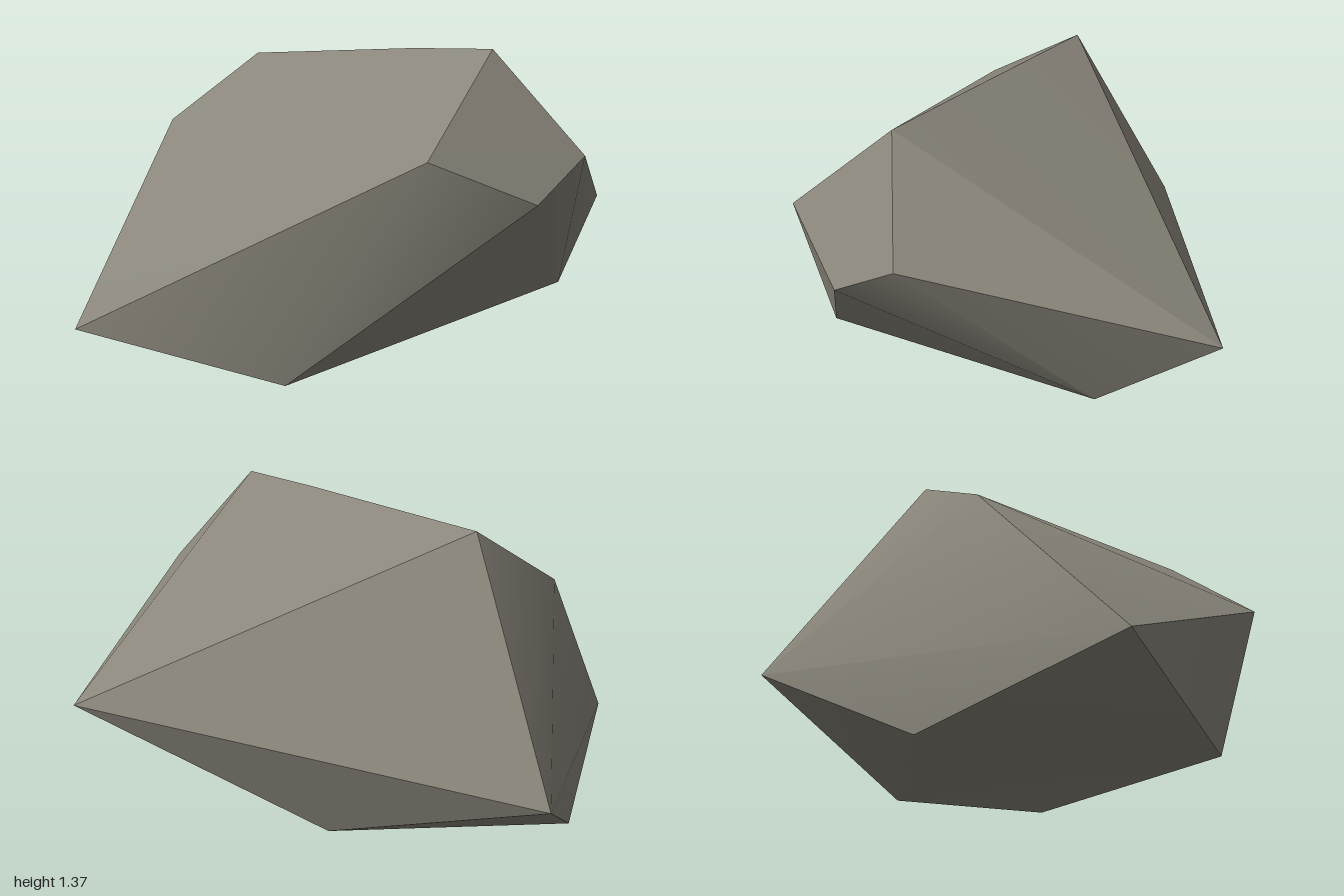
import * as THREE from 'three';
import { ConvexGeometry } from 'three/addons/geometries/ConvexGeometry.js';
import { toCreasedNormals } from 'three/addons/utils/BufferGeometryUtils.js';

export function createModel() {
  const group = new THREE.Group();
  group.name = 'rock';

  const stone = new THREE.MeshStandardMaterial({ color: 0x8a867b });
  stone.name = 'stone grey';

  // Corners of the boulder
  const corners = [
    // upper ridge
    [-0.58, 1.32, -0.24], [0.27, 1.36, 0.2], [0.64, 1.365, 0.41],
    // chipped facet at the front left
    [1.0, 0.955, 0.365], [0.86, 0.79, 0.62], [0.49, 0.965, 0.85],
    // right flank
    [-0.83, 1.04, 0.16], [-0.96, 0.245, 0.85], [-1.0, 0.365, -0.69],
    // back point and left flank
    [0.91, 0.635, -0.855], [0.8, 0.3, -0.38],
    // underside
    [-0.07, 0.08, 0.84], [-0.09, 0.125, -0.63], [-0.97, 0, 0], [-0.78, 0.003, 0],
  ].map((p) => new THREE.Vector3(...p));

  // Gentle edges are smoothed, hard breaks stay sharp
  const geometry = toCreasedNormals(new ConvexGeometry(corners), Math.PI / 6);
  const boulder = new THREE.Mesh(geometry, stone);
  boulder.name = 'boulder';
  group.add(boulder);

  return group;
}
